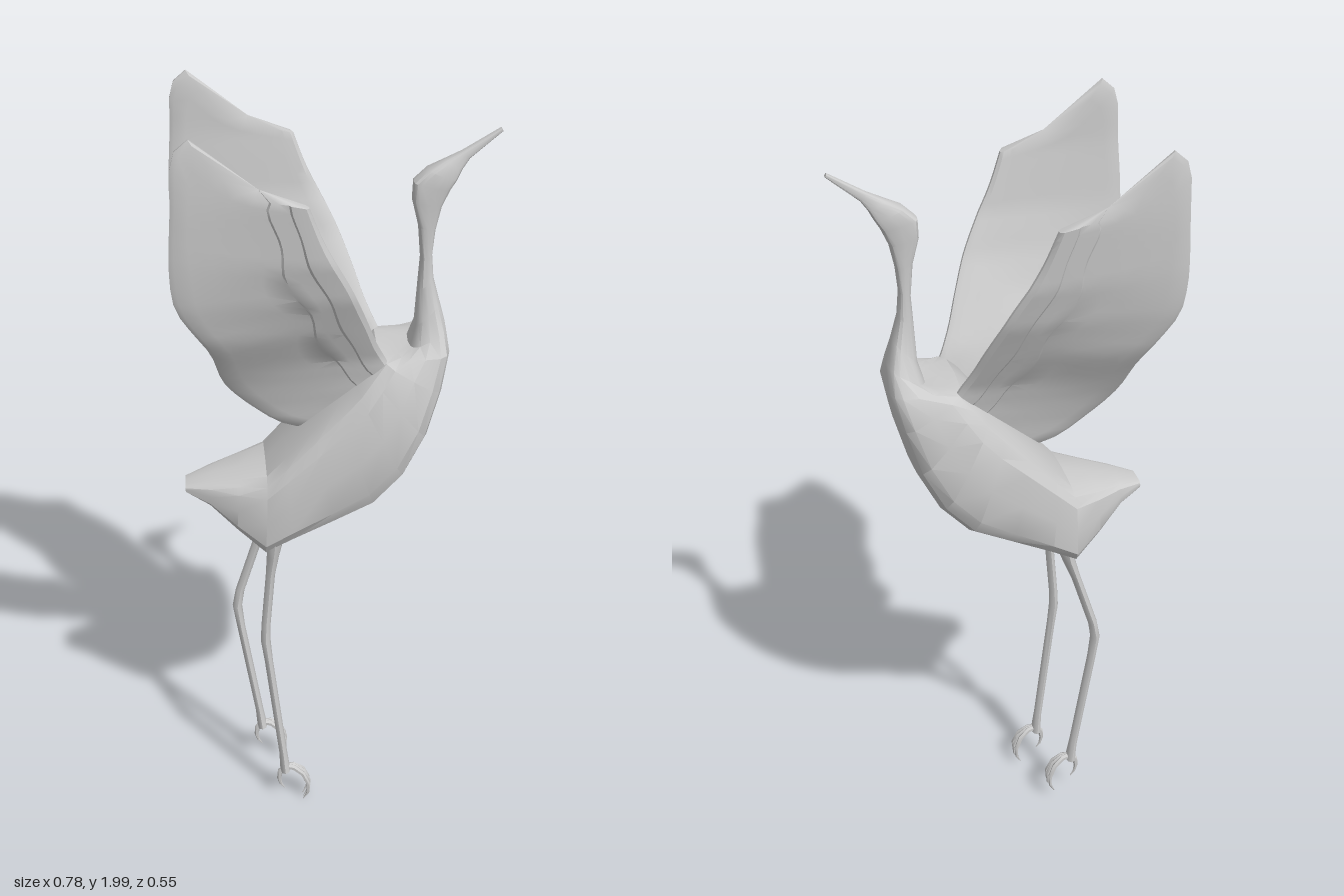
import * as THREE from 'three';
import { toCreasedNormals } from 'three/addons/utils/BufferGeometryUtils.js';

const material = new THREE.MeshStandardMaterial({ color: 0xcccccc });

// Joins closed rings of points into a capped skin
function skin(name, rings, crease) {
  const n = rings[0].length, last = rings.length - 1;
  const points = rings.flat(), index = [];
  for (let i = 0; i < last; i++) {
    for (let j = 0; j < n; j++) {
      const a = i * n + j, b = i * n + (j + 1) % n;
      index.push(a, b, a + n, b, b + n, a + n);
    }
  }
  for (const i of [0, last]) {
    const centre = new THREE.Vector3();
    rings[i].forEach(p => centre.addScaledVector(p, 1 / n));
    const c = points.push(centre) - 1;
    for (let j = 0; j < n; j++) {
      const a = i * n + j, b = i * n + (j + 1) % n;
      if (i === 0) index.push(c, b, a); else index.push(c, a, b);
    }
  }
  const geometry = new THREE.BufferGeometry().setFromPoints(points);
  geometry.setIndex(index);
  const mesh = new THREE.Mesh(toCreasedNormals(geometry, crease), material);
  mesh.name = name;
  return mesh;
}

// Ring between an upper and a lower point of the side profile; power below 1 squares it off
function ring([tx, ty, bx, by, w, power = 1], sides) {
  const soft = t => Math.sign(t) * Math.abs(t) ** power;
  return Array.from({ length: sides }, (_, j) => {
    const a = (j / sides) * Math.PI * 2, c = soft(Math.cos(a)) / 2;
    return new THREE.Vector3((tx + bx) / 2 + (tx - bx) * c, (ty + by) / 2 + (ty - by) * c, soft(Math.sin(a)) * w);
  });
}

// Tapered limb along a side-view path of [x, y, radius, widthScale]
function limb(name, path, sides) {
  const rings = path.map(([x, y, r, wide = 1], i) => {
    const p = path[Math.max(i - 1, 0)], q = path[Math.min(i + 1, path.length - 1)];
    const l = Math.hypot(q[0] - p[0], q[1] - p[1]);
    const nx = -(q[1] - p[1]) / l * r, ny = (q[0] - p[0]) / l * r;
    return ring([x + nx, y + ny, x - nx, y - ny, r * wide], sides);
  });
  return skin(name, rings, 0.9);
}

// Tail, torso, neck, head and beak: upper x, y, lower x, y, half width, power
const bodySections = [
  [-0.385, 1.02, -0.385, 1.0, 0.034, 0.6],
  [-0.32, 1.04, -0.325, 0.97, 0.066, 0.55],
  [-0.25, 1.055, -0.26, 0.91, 0.105, 0.5],
  [-0.18, 1.075, -0.19, 0.848, 0.14, 0.5],
  [-0.13, 1.13, -0.12, 0.885, 0.147, 0.5],
  [-0.06, 1.21, -0.01, 0.935, 0.153, 0.52],
  [0.0, 1.28, 0.09, 0.98, 0.157, 0.55],
  [0.04, 1.325, 0.165, 1.06, 0.157, 0.55],
  [0.07, 1.362, 0.222, 1.17, 0.147, 0.55],
  [0.1, 1.39, 0.257, 1.29, 0.13, 0.55],
  [0.14, 1.387, 0.276, 1.385, 0.105, 0.6],
  [0.178, 1.39, 0.268, 1.44, 0.068, 0.7],
  [0.193, 1.44, 0.252, 1.5, 0.04, 0.75],
  [0.198, 1.53, 0.236, 1.56, 0.027, 0.75],
  [0.203, 1.61, 0.231, 1.62, 0.022, 0.75],
  [0.196, 1.69, 0.237, 1.68, 0.022, 0.7],
  [0.18, 1.755, 0.25, 1.74, 0.026, 0.55],
  [0.182, 1.8, 0.268, 1.78, 0.029, 0.5],
  [0.215, 1.83, 0.282, 1.803, 0.029, 0.5],
  [0.255, 1.85, 0.295, 1.828, 0.021, 0.6],
  [0.295, 1.87, 0.312, 1.852, 0.012, 0.6],
  [0.383, 1.922, 0.387, 1.914, 0.007, 0.6],
];

const curve = pts => new THREE.CatmullRomCurve3(pts.map(([x, y, z]) => new THREE.Vector3(x, y, z)));
// Wing edges from shoulder to tip
const leading = curve([[0.115, 1.385, 0.085], [0.085, 1.45, 0.125], [0.06, 1.52, 0.16], [0.02, 1.62, 0.21],
  [-0.05, 1.76, 0.25], [-0.08, 1.84, 0.258]]);
const trailing = curve([[-0.1, 1.2, 0.065], [-0.15, 1.22, 0.072], [-0.27, 1.34, 0.11], [-0.31, 1.47, 0.19],
  [-0.38, 1.6, 0.236], [-0.39, 1.68, 0.248], [-0.38, 1.85, 0.257], [-0.368, 1.97, 0.257], [-0.335, 2.0, 0.257]]);
// Outward sweep of the wing by height, for its leading and trailing side
const sweep = [[1.18, 0.06, 0.06], [1.27, 0.074, 0.08], [1.34, 0.085, 0.108], [1.4, 0.1, 0.142], [1.5, 0.15, 0.203],
  [1.6, 0.202, 0.235], [1.7, 0.236, 0.248], [1.85, 0.257, 0.257], [2.05, 0.257, 0.257]];
function sweepAt(y, v) {
  let i = 0;
  while (i < sweep.length - 2 && y > sweep[i + 1][0]) i++;
  const [a, b] = [sweep[i], sweep[i + 1]];
  const side = k => THREE.MathUtils.mapLinear(y, a[0], b[0], a[k], b[k]);
  return THREE.MathUtils.lerp(side(1), side(2), v);
}

// Wing skin from root to tip, with overlapping feather layers on the outside
function makeWing(name) {
  const chord = [0, 0.03, 0.1, 0.15, 0.165, 0.24, 0.31, 0.325, 0.45, 0.6, 0.75, 0.88, 0.97, 1];
  const rows = 24, rings = [];
  for (let i = 0; i <= rows; i++) {
    const u = i / rows;
    const a = leading.getPointAt(u), b = trailing.getPointAt(u);
    const place = (v, outside) => {
      const wave = 0.025 * Math.sin(u * 19 + v * 6) * Math.sin(Math.PI * v);
      const p = a.clone().lerp(b, v + wave);
      p.y -= 0.055 * Math.sin(Math.PI * v ** 1.3) * u ** 4;
      const edge = Math.min(1, 0.3 + Math.min(v, 1 - v) * 20);
      const layer = v < 0.16 ? 0.018 : v < 0.32 ? 0.013 : 0.009;
      p.z = sweepAt(p.y, v) + edge * (outside ? layer : -0.011);
      return p;
    };
    rings.push([...chord.map(v => place(v, false)), ...chord.slice().reverse().map(v => place(v, true))]);
  }
  return skin(name, rings, 0.6);
}

// Leg with a clawed foot at its ankle
function makeLeg(name, path, z) {
  const leg = new THREE.Group();
  leg.name = name;
  leg.position.z = z;
  leg.add(limb('shank', path, 8));
  const [x, y] = path[path.length - 1];
  const addToe = (toeName, turn, points) => {
    const toe = limb(toeName, points, 6);
    toe.position.set(x, y, 0);
    toe.rotation.y = turn;
    leg.add(toe);
  };
  for (const turn of [-0.25, 0, 0.25]) {
    addToe('frontToe', turn, [[-0.008, 0.012, 0.009], [0.025, 0.01, 0.008], [0.05, -0.01, 0.007],
      [0.065, -0.045, 0.006], [0.064, -0.075, 0.004], [0.05, -0.102, 0.001]]);
  }
  addToe('backToe', Math.PI, [[-0.005, 0.012, 0.009], [0.014, -0.004, 0.008], [0.018, -0.03, 0.006],
    [0.013, -0.052, 0.004], [0.002, -0.068, 0.001]]);
  return leg;
}

export function createModel() {
  const bird = new THREE.Group();
  bird.name = 'wadingBird';
  bird.add(skin('body', bodySections.map(s => ring(s, 16)), 0.5));

  // Mirrored pair of raised wings
  const frontWing = makeWing('frontWing');
  const backWing = frontWing.clone();
  backWing.name = 'backWing';
  backWing.scale.z = -1;
  bird.add(frontWing, backWing);

  // Legs in mid-step
  bird.add(makeLeg('frontLeg', [[-0.163, 0.9, 0.024, 1.3], [-0.17, 0.84, 0.016, 1.6], [-0.178, 0.78, 0.012, 1.4],
    [-0.193, 0.62, 0.012, 1.3], [-0.195, 0.57, 0.013, 1.3], [-0.188, 0.5, 0.011, 1.4],
    [-0.155, 0.18, 0.011, 1.4], [-0.15, 0.115, 0.014, 1.5]], 0.093));
  bird.add(makeLeg('backLeg', [[-0.167, 0.9, 0.024, 1.3], [-0.182, 0.84, 0.016, 1.6], [-0.203, 0.78, 0.012, 1.4],
    [-0.255, 0.62, 0.012, 1.3], [-0.264, 0.57, 0.013, 1.3], [-0.256, 0.5, 0.011, 1.4],
    [-0.212, 0.2, 0.011, 1.4], [-0.205, 0.14, 0.014, 1.5]], -0.075));
  return bird;
}
